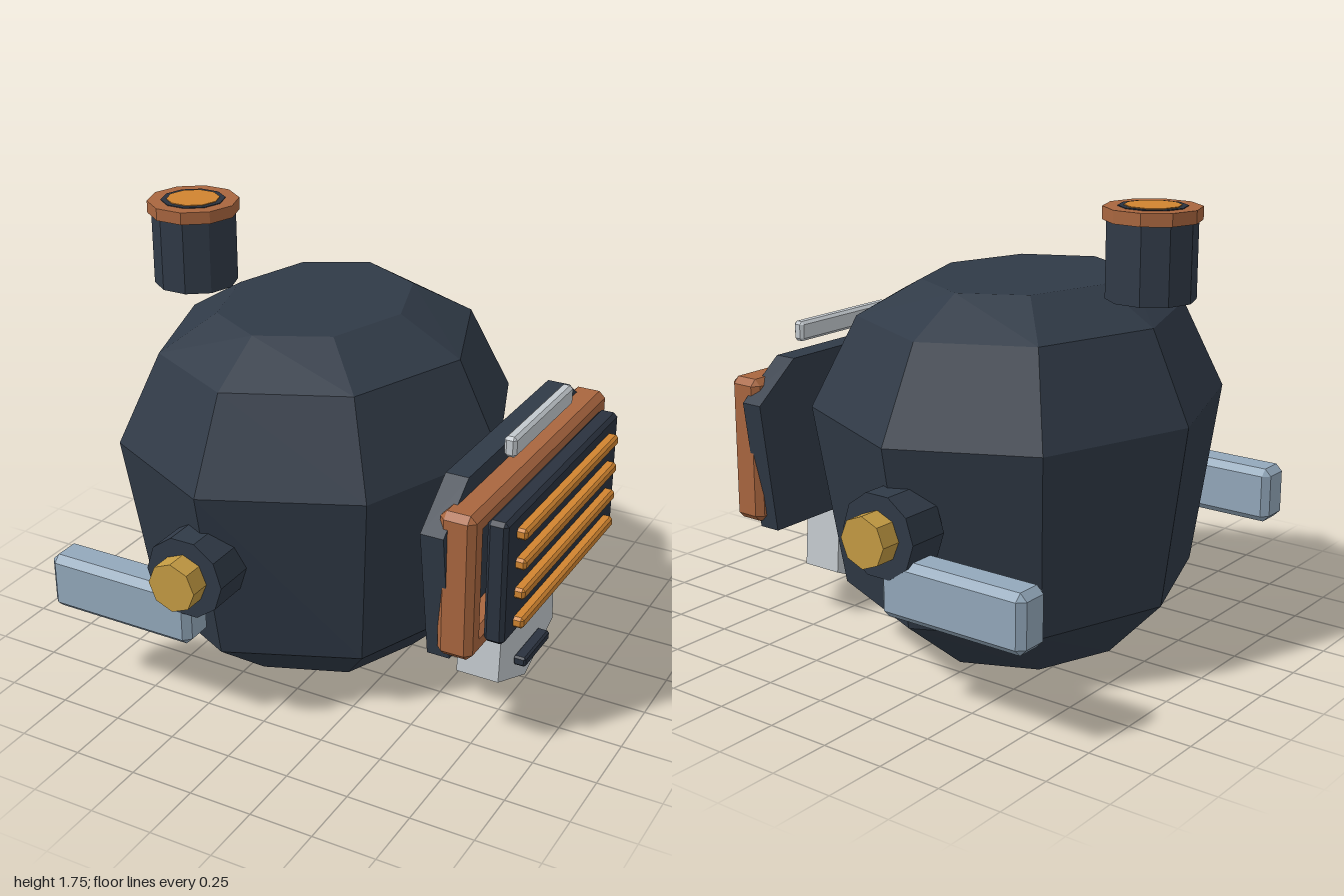
import * as THREE from 'three';
import { ConvexGeometry } from 'three/addons/geometries/ConvexGeometry.js';

const mat = (name, color) => {
  const m = new THREE.MeshStandardMaterial({ color, flatShading: true });
  m.name = name;
  return m;
};

export function createModel() {
  const navy = mat('navy', 0x303a47);
  const darkNavy = mat('dark navy', 0x2a323e);
  const copper = mat('copper', 0xa9663f);
  const orange = mat('orange', 0xd08430);
  const gold = mat('gold', 0xc49b43);
  const silver = mat('silver', 0xc3c9ce);
  const steel = mat('steel blue', 0x93a8bb);

  const model = new THREE.Group();
  model.name = 'model';

  const add = (name, geometry, material) => {
    const mesh = new THREE.Mesh(geometry, material);
    mesh.name = name;
    model.add(mesh);
    return mesh;
  };

  // Chamfered box given by its minimum and maximum corners
  const block = (name, [x0, y0, z0], [x1, y1, z1], c, material) => {
    const h = [(x1 - x0) / 2, (y1 - y0) / 2, (z1 - z0) / 2];
    const points = [];
    for (const sx of [-1, 1]) for (const sy of [-1, 1]) for (const sz of [-1, 1]) {
      for (let axis = 0; axis < 3; axis++) {
        const d = h.map((v, i) => (i === axis ? v : v - c));
        points.push(new THREE.Vector3(sx * d[0], sy * d[1], sz * d[2]));
      }
    }
    const mesh = add(name, new ConvexGeometry(points), material);
    mesh.position.set((x0 + x1) / 2, (y0 + y1) / 2, (z0 + z1) / 2);
    return mesh;
  };

  // Upright cylinder with a corner on the x axis
  const drum = (name, r, y0, y1, sides, material) => {
    const g = new THREE.CylinderGeometry(r, r, y1 - y0, sides).rotateY(Math.PI / 2);
    const mesh = add(name, g, material);
    mesh.position.set(-0.735, (y0 + y1) / 2, 0);
    return mesh;
  };

  // Plate cut from a symmetric outline of (z, y) points, extruded along x
  const plate = (name, half, x0, x1, material) => {
    const outline = [...half, ...half.map(([z, y]) => [-z, y]).reverse()];
    const shape = new THREE.Shape(outline.map(([z, y]) => new THREE.Vector2(z, y)));
    const g = new THREE.ExtrudeGeometry(shape, { depth: x1 - x0, bevelEnabled: false });
    g.rotateY(Math.PI / 2);
    add(name, g, material).position.x = x0;
  };

  // Faceted pot body: eight-sided rings of [y, back x, front x, half depth]
  const middle = -0.195;
  const rings = [
    [0, -0.59, 0.25, 0.43],
    [0.24, -0.815, 0.5, 0.73],
    [0.955, -0.91, 0.6, 0.865],
    [1.3, -0.75, 0.43, 0.685],
    [1.435, -0.53, 0.18, 0.45],
  ];
  const bodyPoints = [];
  for (const [y, xMin, xMax, depth] of rings) {
    for (let i = 0; i < 8; i++) {
      const a = (i * Math.PI) / 4;
      const c = Math.cos(a);
      const reach = c > 0 ? xMax - middle : middle - xMin;
      bodyPoints.push(new THREE.Vector3(middle + reach * c, y, depth * Math.sin(a)));
    }
  }
  add('body', new ConvexGeometry(bodyPoints), navy);

  // Chimney with a copper rim and glowing mouth
  drum('chimney', 0.165, 1.408, 1.7, 10, navy);
  drum('chimneyRim', 0.18, 1.695, 1.743, 10, copper);
  drum('chimneyLining', 0.126, 1.74, 1.746, 10, darkNavy);
  drum('chimneyGlow', 0.104, 1.742, 1.749, 10, orange);

  // Grille: backing plate, copper frame, panel and slats
  plate('grilleBacking', [[0.58, 0.4], [0.655, 0.925], [0.46, 1.077]], 0.6, 0.69, navy);
  for (const y of [0.43, 0.92]) {
    block('frameRail', [0.65, y, -0.625], [0.79, y + 0.09, 0.625], 0.025, copper);
  }
  for (const s of [-1, 1]) {
    block('frameStile', [0.65, 0.43, s * 0.575 - 0.05], [0.79, 1.01, s * 0.575 + 0.05], 0.025, copper);
  }
  block('grillePanel', [0.795, 0.478, -0.533], [0.875, 0.97, 0.533], 0.015, darkNavy);
  for (let i = 0; i < 4; i++) {
    const y = 0.535 + i * 0.12;
    block('grilleSlat', [0.865, y - 0.022, -0.447], [0.913, y + 0.022, 0.447], 0.01, orange);
  }

  // Silver bar above the grille and silver chin plate below it
  block('browBar', [0.733, 1.087, -0.27], [0.782, 1.168, 0.27], 0.012, silver);
  plate('chinPlate', [[0, 0.015], [0.267, 0.132], [0.24, 0.5], [0.15, 0.6]].slice(1), 0.575, 0.75, silver);
  const chin = model.getObjectByName('chinPlate');
  chin.geometry.dispose();
  const chinShape = new THREE.Shape(
    [[0, 0.015], [0.267, 0.132], [0.24, 0.5], [0.15, 0.6], [-0.15, 0.6], [-0.24, 0.5], [-0.267, 0.132]]
      .map(([z, y]) => new THREE.Vector2(z, y)));
  chin.geometry = new THREE.ExtrudeGeometry(chinShape, { depth: 0.175, bevelEnabled: false }).rotateY(Math.PI / 2);
  block('chinSlot', [0.745, 0.127, -0.12], [0.798, 0.168, 0.12], 0.008, darkNavy);

  // Side hubs, knobs and arms
  for (const s of [-1, 1]) {
    const hub = add('hub', new THREE.CylinderGeometry(0.16, 0.16, 0.17, 10).rotateY(Math.PI / 2).rotateX(Math.PI / 2), navy);
    hub.position.set(-0.217, 0.653, s * 0.833);
    const knob = add('knob', new THREE.CylinderGeometry(0.097, 0.097, 0.09, 8).rotateX(Math.PI / 2), gold);
    knob.position.set(-0.217, 0.653, s * 0.955);
    block('arm', [-0.838, 0.353, s * 0.842 - 0.074], [-0.213, 0.578, s * 0.842 + 0.074], 0.027, steel);
  }
  return model;
}
